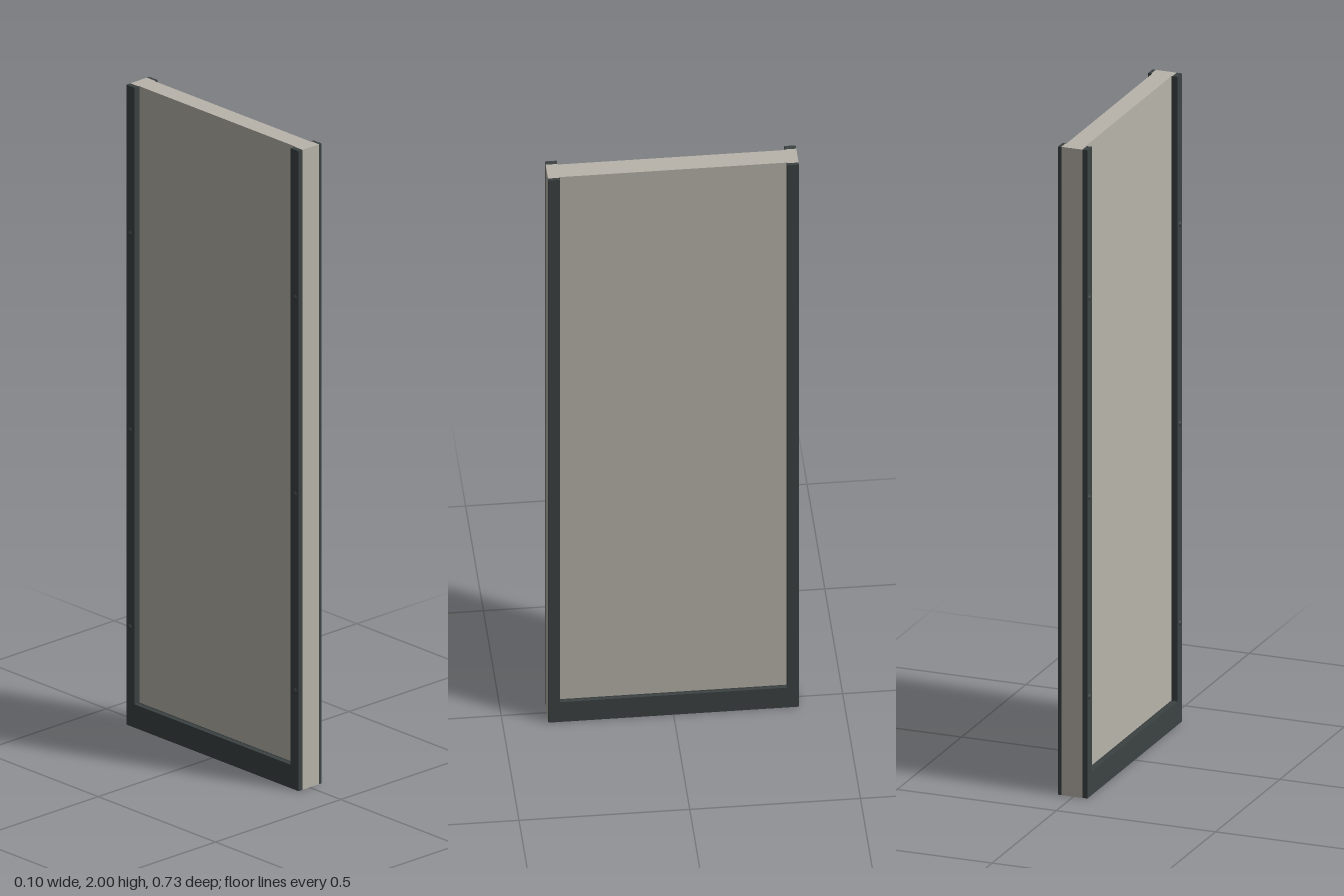
import * as THREE from 'three';

export function createModel() {
  const model = new THREE.Group();
  const stone = new THREE.MeshStandardMaterial({ color: 0xb8b4ab });
  stone.name = 'warm grey panel';
  const dark = new THREE.MeshStandardMaterial({ color: 0x3c4242 });
  dark.name = 'dark slate frame';

  // box given by its lower and upper limits on each axis
  function box(name, material, x0, x1, y0, y1, z0, z1) {
    const mesh = new THREE.Mesh(new THREE.BoxGeometry(x1 - x0, y1 - y0, z1 - z0), material);
    mesh.position.set((x0 + x1) / 2, (y0 + y1) / 2, (z0 + z1) / 2);
    mesh.name = name;
    model.add(mesh);
  }

  const H = 2, D = 0.367, inner = 0.333, rail = 0.073;

  // recessed centre panel with slightly thicker edges and base
  box('panel', stone, -0.025, 0.035, rail, H, -inner, inner);
  box('panelBase', stone, -0.028, 0.038, 0, rail, -inner, inner);
  for (const s of [-1, 1]) {
    const z = [s * inner, s * D].sort((a, b) => a - b);
    box('panelEdge', stone, -0.028, 0.038, 0, H, ...z);
  }

  // open-topped frame on both faces: two stiles and a bottom rail
  for (const [x0, x1] of [[-0.044, -0.028], [0.038, 0.048]]) {
    box('bottomRail', dark, x0, x1, 0, rail, -inner, inner);
    box('backStile', dark, x0, x1, 0, H, -D, -inner);
    box('frontStile', dark, x0, x1, 0, H, inner, D);
  }
  // inner reveals lining the step from frame to panel
  for (const [x0, x1] of [[-0.028, -0.025], [0.035, 0.038]]) {
    for (const s of [-1, 1]) {
      const z = [s * inner, s * (inner - 0.001)].sort((a, b) => a - b);
      box('sideReveal', dark, x0, x1, rail, H, ...z);
    }
    box('bottomReveal', dark, x0, x1, rail, rail + 0.001, -inner, inner);
  }

  // small screw heads along the stiles of one face
  const screw = new THREE.CylinderGeometry(0.009, 0.003, 0.004, 8);
  screw.rotateZ(-Math.PI / 2);
  for (const y of [0.31, 0.925, 1.54]) {
    for (const z of [-0.352, 0.352]) {
      const mesh = new THREE.Mesh(screw, dark);
      mesh.name = 'screwHead';
      mesh.position.set(-0.046, y, z);
      model.add(mesh);
    }
  }
  return model;
}
